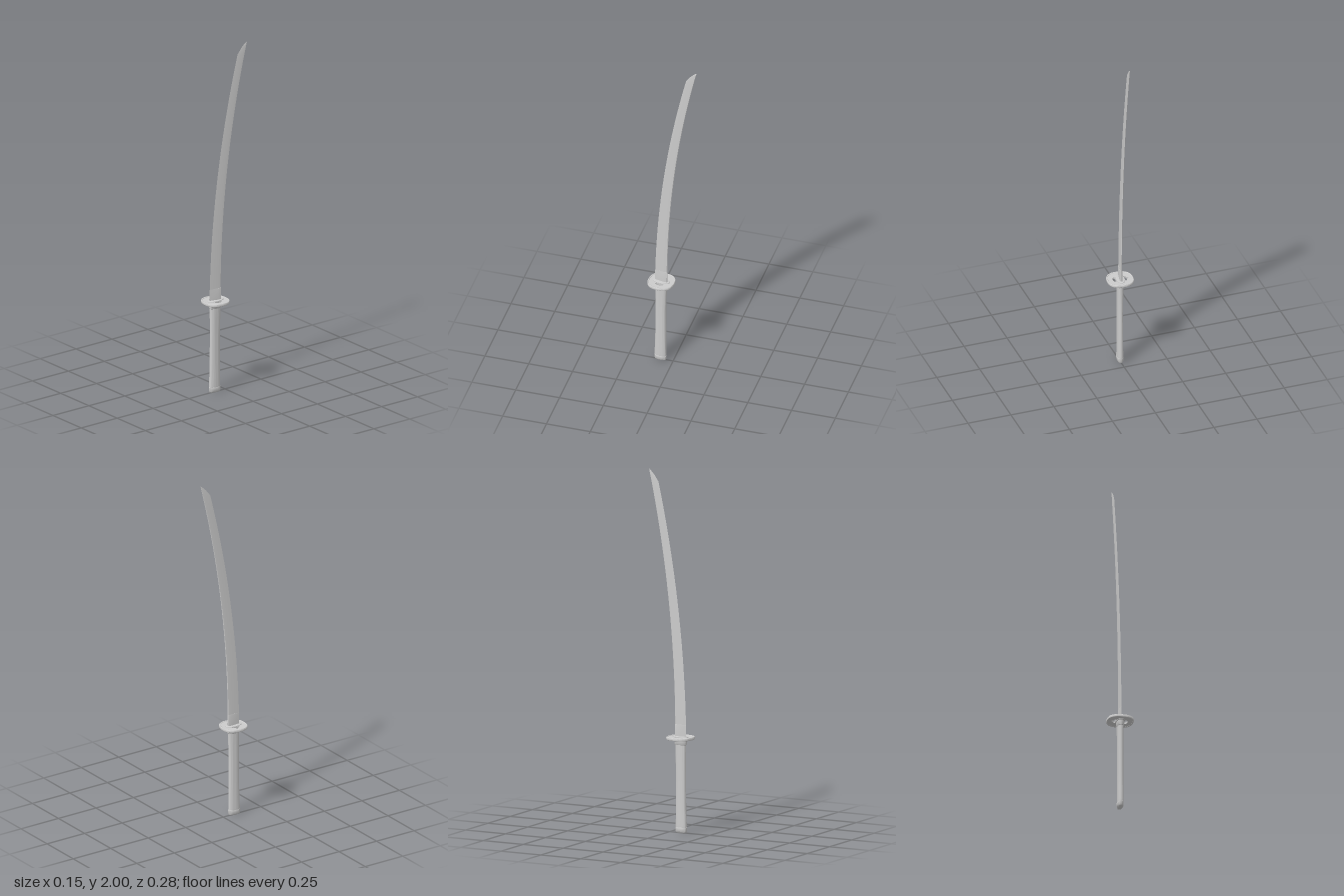
import * as THREE from 'three';
import { toCreasedNormals } from 'three/addons/utils/BufferGeometryUtils.js';

const material = new THREE.MeshStandardMaterial({ color: 0xcccccc, side: THREE.DoubleSide });

function addPart(group, name, geometry, crease = 0.6) {
  const mesh = new THREE.Mesh(toCreasedNormals(geometry, crease), material);
  mesh.name = name;
  group.add(mesh);
}

// Skin a stack of closed rings (running from +x towards +z), capped at both ends
function loft(rings) {
  const n = rings[0].length, last = rings.length - 1;
  const positions = rings.flat().flatMap((p) => p.toArray());
  const index = [];
  for (let i = 0; i < last; i++) {
    for (let j = 0; j < n; j++) {
      const a = i * n + j, b = i * n + (j + 1) % n;
      index.push(a, a + n, b, b, a + n, b + n);
    }
  }
  for (let j = 1; j < n - 1; j++) {
    index.push(0, j, j + 1);
    index.push(last * n, last * n + j + 1, last * n + j);
  }
  const geometry = new THREE.BufferGeometry();
  geometry.setAttribute('position', new THREE.Float32BufferAttribute(positions, 3));
  geometry.setIndex(index);
  return geometry;
}

// Superellipse outline; power 2 is a plain ellipse
function oval(rx, rz, power = 2, count = 48) {
  const bend = (v) => Math.sign(v) * Math.abs(v) ** (2 / power);
  return Array.from({ length: count }, (_, i) => {
    const a = (i / count) * Math.PI * 2;
    return new THREE.Vector2(rx * bend(Math.cos(a)), rz * bend(Math.sin(a)));
  });
}

// Lofted oval column from [y, halfWidth, halfDepth, centreZ] rows
function ovalColumn(rows) {
  return loft(rows.map(([y, rx, rz, cz]) =>
    oval(rx, rz, 2.2, 40).map((p) => new THREE.Vector3(p.x, y, p.y + cz))));
}

// Flat horizontal plate centred on height y
function plate(shape, y, thickness, bevel) {
  const geometry = new THREE.ExtrudeGeometry(shape, {
    depth: thickness - 2 * bevel, bevelEnabled: bevel > 0, bevelThickness: bevel,
    bevelSize: bevel, bevelOffset: -bevel, bevelSegments: 3, curveSegments: 10,
  });
  geometry.rotateX(Math.PI / 2);
  geometry.translate(0, y + thickness / 2 - bevel, 0);
  return geometry;
}

// Blade profile: back line and width along the height, relative to the handle axis
const GUARD_Z = 0.067;
const spineAt = (y) => {
  const t = Math.max(0, (y - 0.6) / 1.4);
  return 0.032 - GUARD_Z - 0.01 * t - 0.162 * t * t;
};
const widthAt = (y) => 0.071 - 0.026 * Math.max(0, (y - 0.6) / 1.4);

// Six-sided blade section: ridge, cutting edge, ridge, back, back peak, back
function bladeRing(y, width, half, spine) {
  const ridge = spine + width * 0.3, back = spine + width * 0.04;
  return [[half, ridge], [0, spine + width], [-half, ridge],
    [-half * 0.8, back], [0, spine], [half * 0.8, back]]
    .map(([x, z]) => new THREE.Vector3(x, y, z));
}

export function createModel() {
  const model = new THREE.Group();
  model.name = 'curvedSword';
  const sword = new THREE.Group();
  sword.name = 'sword';
  sword.position.z = GUARD_Z;
  sword.rotation.y = -0.085;
  model.add(sword);

  // Handle with a slight waist and a rounded pommel
  addPart(sword, 'handle', ovalColumn([
    [0.004, 0.012, 0.028, 0.005], [0.006, 0.015, 0.032, 0.005], [0.014, 0.0168, 0.0345, 0.005],
    [0.04, 0.0172, 0.0345, 0.005], [0.1, 0.0165, 0.033, 0.004], [0.2, 0.016, 0.0315, 0.003],
    [0.32, 0.016, 0.031, 0.003], [0.42, 0.0165, 0.032, 0.002], [0.5, 0.0175, 0.034, 0.001],
  ]));
  addPart(sword, 'pommelCap', ovalColumn([
    [0, 0.011, 0.027, 0.005], [0.003, 0.0145, 0.0325, 0.005], [0.008, 0.017, 0.035, 0.005],
    [0.03, 0.0177, 0.0355, 0.005], [0.032, 0.0165, 0.034, 0.005],
  ]));
  addPart(sword, 'handleCollar', ovalColumn([
    [0.488, 0.017, 0.034, 0.001], [0.491, 0.019, 0.037, 0.001],
    [0.512, 0.02, 0.04, 0.001], [0.518, 0.02, 0.04, 0.001],
  ]));

  // Guard plate with a plain half-oval opening and a lobed one
  const guard = new THREE.Shape(oval(0.073, 0.073, 2.45, 72));
  const plainHole = new THREE.Path();
  plainHole.moveTo(0.023, -0.019);
  plainHole.bezierCurveTo(0.029, -0.027, 0.042, -0.022, 0.042, 0);
  plainHole.bezierCurveTo(0.042, 0.022, 0.029, 0.027, 0.023, 0.019);
  plainHole.quadraticCurveTo(0.026, 0, 0.023, -0.019);
  const lobedHole = new THREE.Path();
  lobedHole.moveTo(-0.023, -0.019);
  lobedHole.bezierCurveTo(-0.026, -0.027, -0.038, -0.024, -0.036, -0.012);
  lobedHole.bezierCurveTo(-0.038, -0.007, -0.048, -0.008, -0.048, 0);
  lobedHole.bezierCurveTo(-0.048, 0.008, -0.038, 0.007, -0.036, 0.012);
  lobedHole.bezierCurveTo(-0.038, 0.024, -0.026, 0.027, -0.023, 0.019);
  lobedHole.quadraticCurveTo(-0.026, 0, -0.023, -0.019);
  guard.holes.push(plainHole, lobedHole);
  addPart(sword, 'guardPlate', plate(guard, 0.526, 0.010, 0));

  // Raised rim around the guard
  const rim = new THREE.Shape(oval(0.0738, 0.0738, 2.45, 72));
  rim.holes.push(new THREE.Path(oval(0.066, 0.066, 2.45, 72)));
  addPart(sword, 'guardRim', plate(rim, 0.526, 0.016, 0.003), 1);

  // Oval washer above and below the guard
  addPart(sword, 'guardWasher', plate(new THREE.Shape(oval(0.0235, 0.049, 2.2)), 0.526, 0.018, 0.001));

  // Blade collar
  addPart(sword, 'bladeCollar', loft([[0.53, 0.0075], [0.596, 0.0058], [0.6, 0.005]].map(([y, half]) =>
    bladeRing(y, 0.074, half, spineAt(y) - 0.0015))), 0.3);

  // Blade body, then the quickly narrowing tip as [y, width, halfThickness]
  const rings = [];
  for (let i = 0; i <= 28; i++) {
    const y = 0.53 + (1.935 - 0.53) * (i / 28);
    rings.push(bladeRing(y, widthAt(y), 0.0042 - 0.0014 * (i / 28), spineAt(y)));
  }
  for (const [y, width, half] of [[1.952, 0.037, 0.0026], [1.968, 0.029, 0.0022],
    [1.982, 0.019, 0.0016], [1.992, 0.010, 0.001], [2, 0.0006, 0.0002]]) {
    rings.push(bladeRing(y, width, half, spineAt(y)));
  }
  addPart(sword, 'blade', loft(rings), 0.2);

  return model;
}
